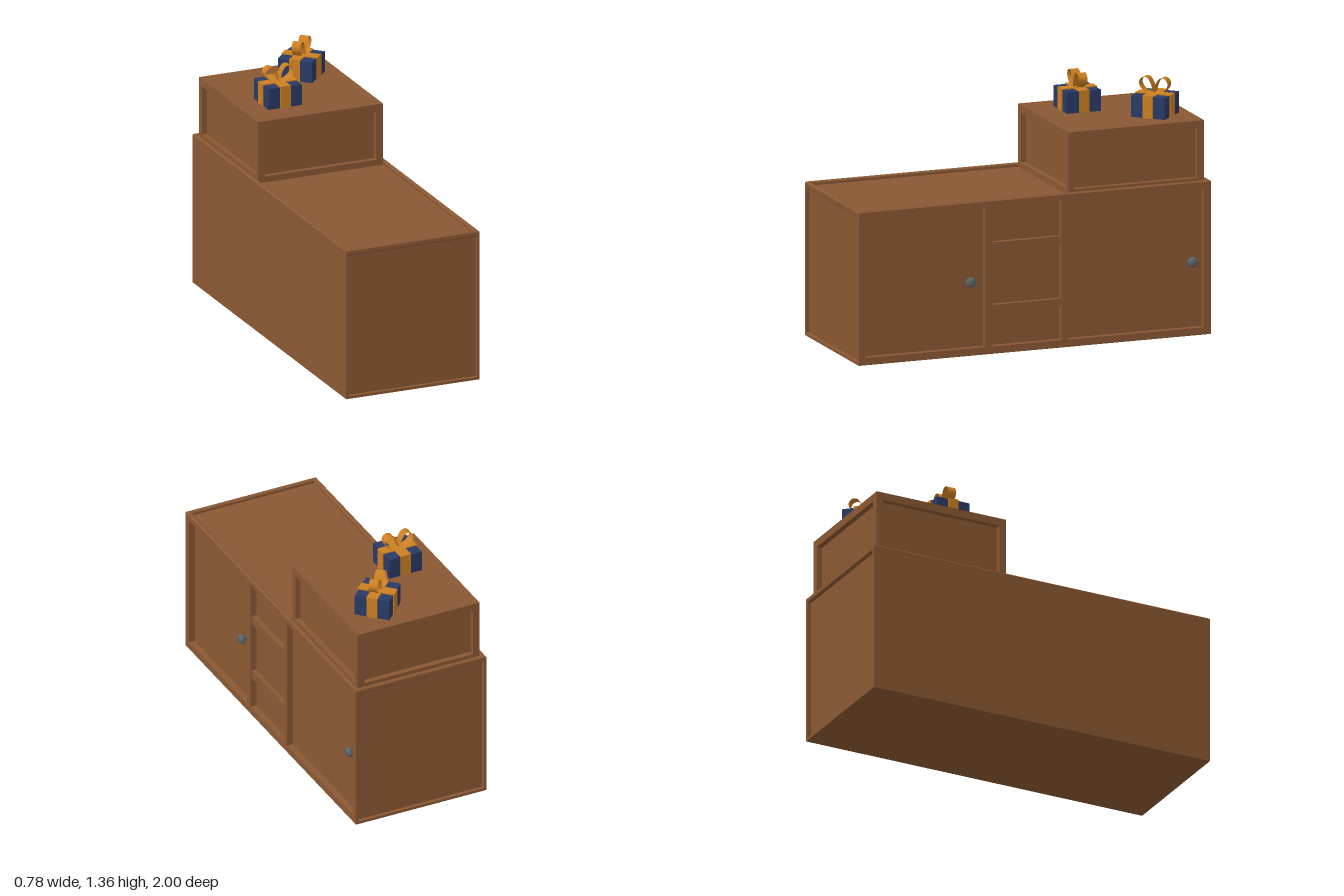
import * as THREE from 'three';

const mat = (color, side = THREE.FrontSide) => new THREE.MeshStandardMaterial({ color, side });
const wood = mat(0x8a5833);
const metal = mat(0x5c666a);
const paper = mat(0x2a3a66);
const ribbon = mat(0xcc7f22);
const bowRibbon = mat(0xcc7f22, THREE.DoubleSide);

function add(parent, name, geometry, material) {
  const mesh = new THREE.Mesh(geometry, material);
  mesh.name = name;
  parent.add(mesh);
  return mesh;
}

// Box given by its min and max corners
function block(parent, name, [x0, y0, z0], [x1, y1, z1], material) {
  const mesh = add(parent, name, new THREE.BoxGeometry(x1 - x0, y1 - y0, z1 - z0), material);
  mesh.position.set((x0 + x1) / 2, (y0 + y1) / 2, (z0 + z1) / 2);
  return mesh;
}

// Flat frame with rectangular openings, each rectangle as [x0, y0, x1, y1]
function frameGeometry(outer, holes, depth, bevel = 0) {
  const corners = ([x0, y0, x1, y1]) =>
    [[x0, y0], [x1, y0], [x1, y1], [x0, y1]].map(([x, y]) => new THREE.Vector2(x, y));
  const shape = new THREE.Shape(corners(outer));
  holes.forEach(h => shape.holes.push(new THREE.Path(corners(h).reverse())));
  return new THREE.ExtrudeGeometry(shape, {
    depth, bevelEnabled: bevel > 0, bevelSize: bevel, bevelThickness: bevel,
    bevelOffset: -bevel, bevelSegments: 1,
  });
}

// Low cabinet with doors and shelves on its +x side
function makeCabinet() {
  const g = new THREE.Group();
  g.name = 'cabinet';
  const top = 0.812;
  block(g, 'cabinetBody', [-0.39, 0, -0.98], [0.345, top, 0.98], wood);

  // end frames around shallow panels
  for (const s of [1, -1]) {
    const end = add(g, s > 0 ? 'frontEndFrame' : 'backEndFrame',
      frameGeometry([-0.385, 0, 0.385, top], [[-0.37, 0.015, 0.37, 0.806]], 0.02), wood);
    end.rotation.y = s > 0 ? 0 : Math.PI;
    end.position.set(-0.005, 0, s * 0.98);
  }

  // door side: door, shelf bay, door
  const side = add(g, 'doorSideFrame', frameGeometry([-0.98, 0, 0.98, top], [
    [-0.96, 0.04, -0.28, 0.797], [-0.24, 0.04, 0.15, 0.797], [0.19, 0.04, 0.96, 0.797],
  ], 0.035), wood);
  side.rotation.y = Math.PI / 2;
  side.position.x = 0.345;
  for (const y of [0.215, 0.553]) {
    block(g, 'shelf', [0.34, y, -0.15], [0.372, y + 0.048, 0.24], wood);
  }

  // raised rim with chamfered edges around the top
  const rim = add(g, 'topRim',
    frameGeometry([-0.39, -1, 0.38, 1], [[-0.365, -0.975, 0.355, 0.975]], 0.02, 0.006), wood);
  rim.rotation.x = -Math.PI / 2;
  rim.position.y = 0.806;

  // round door knobs
  const profile = [[0.012, 0], [0.012, 0.012], [0.028, 0.02], [0.028, 0.03], [0.02, 0.042], [0, 0.042]]
    .map(([r, y]) => new THREE.Vector2(r, y));
  for (const z of [0.36, -0.9]) {
    const knob = add(g, 'doorKnob', new THREE.LatheGeometry(profile, 16), metal);
    knob.rotation.z = -Math.PI / 2;
    knob.position.set(0.345, 0.395, z);
  }
  return g;
}

// Upper box with a recessed panel on each of its four sides
function makeUpperBox() {
  const g = new THREE.Group();
  g.name = 'upperBox';
  const w = 0.36, d = 0.385, r = 0.03, y0 = 0.812, y1 = 1.155;
  block(g, 'upperBoxBody', [r - w, y0, r - d], [w - r, y1, d - r], wood);
  for (let i = 0; i < 4; i++) {
    const alongX = i % 2 === 0;
    const half = alongX ? w : d - r;
    const open = alongX ? w - 0.04 : d - 0.038;
    const f = add(g, 'upperBoxFrame',
      frameGeometry([-half, y0, half, y1], [[-open, 0.845, open, 1.112]], r), wood);
    f.rotation.y = i * Math.PI / 2;
    f.position.set([0, w - r, 0, r - w][i], 0, [d - r, 0, r - d, 0][i]);
  }
  g.position.set(-0.005, 0, -0.585);
  return g;
}

// One bow loop: a thin strip swept along z, s mirrors it
function bowLoopGeometry(s) {
  const curve = new THREE.CatmullRomCurve3([
    [0, 0], [0.045, 0.004], [0.076, 0.03], [0.081, 0.058], [0.062, 0.081],
    [0.036, 0.079], [0.015, 0.05], [0, 0],
  ].map(([x, y]) => new THREE.Vector3(s * x, y, 0)));
  const n = 28;
  const geo = new THREE.PlaneGeometry(1, 0.05, n, 1);
  const pos = geo.attributes.position;
  for (let i = 0; i < pos.count; i++) {
    const p = curve.getPoint(THREE.MathUtils.clamp(pos.getX(i) + 0.5, 0, 1));
    pos.setXYZ(i, p.x, p.y, pos.getY(i));
  }
  geo.computeVertexNormals();
  return geo;
}

// Wrapped gift with crossed ribbons and a bow
function makeGift(x, z, angle) {
  const g = new THREE.Group();
  g.name = 'gift';
  const a = 0.096, b = 0.101, h = 0.115, t = 0.03;
  block(g, 'giftBox', [-a, 0, -a], [a, h, a], paper);
  block(g, 'ribbonAcross', [-b, 0, -t], [b, h + 0.005, t], ribbon);
  block(g, 'ribbonAlong', [-t, 0, -b], [t, h + 0.006, b], ribbon);
  for (const s of [1, -1]) {
    add(g, 'bowLoop', bowLoopGeometry(s), bowRibbon).position.y = h + 0.007;
  }
  g.position.set(x, 1.155, z);
  g.rotation.y = angle;
  return g;
}

export function createModel() {
  const model = new THREE.Group();
  model.name = 'cabinetWithGifts';
  model.add(
    makeCabinet(),
    makeUpperBox(),
    makeGift(-0.142, -0.448, 0),
    makeGift(0.14, -0.777, Math.PI / 4),
  );
  return model;
}
